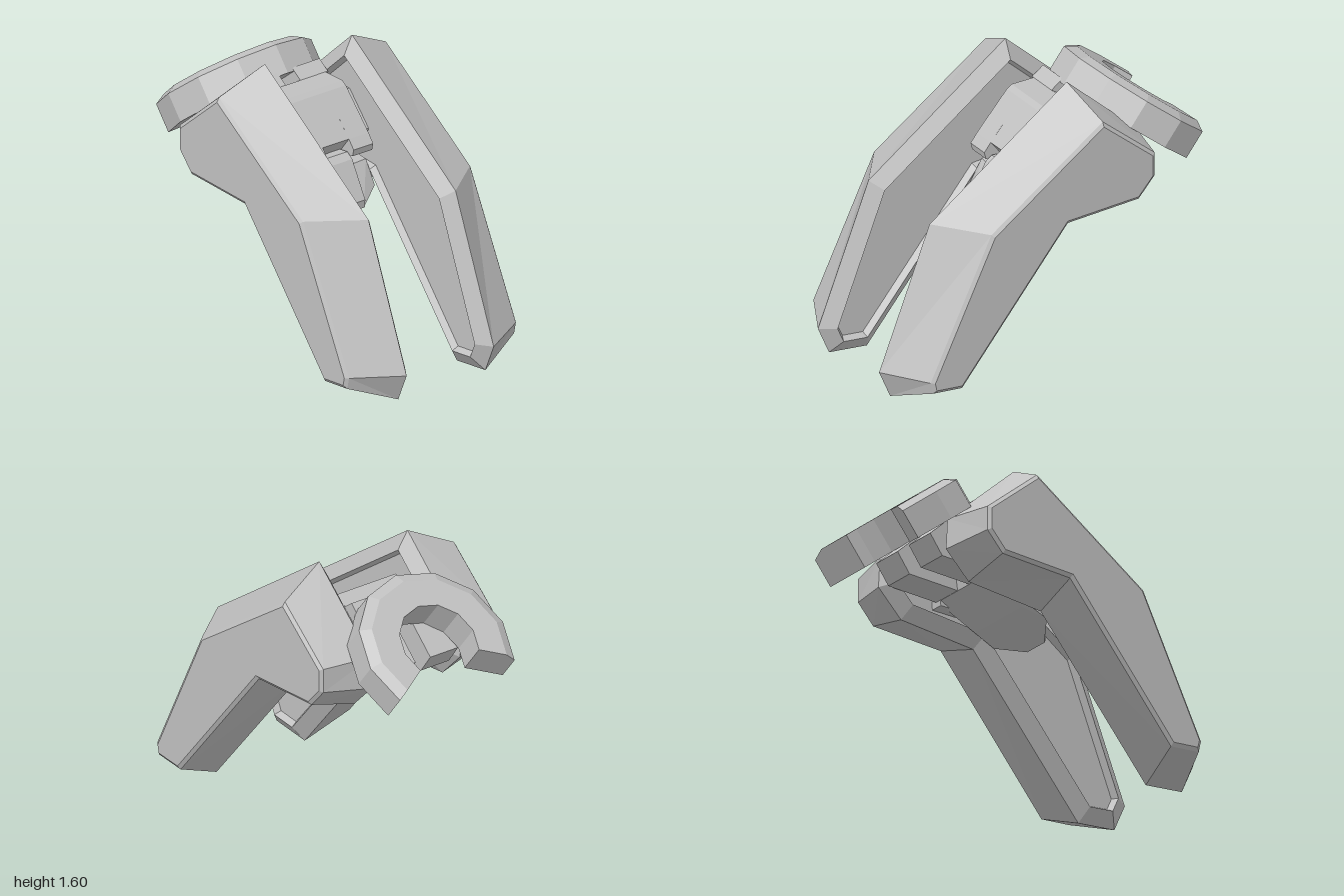
import * as THREE from 'three';
import { ConvexGeometry } from 'three/addons/geometries/ConvexGeometry.js';

const grey = new THREE.MeshStandardMaterial({ color: 0xc0c0c0, flatShading: true });
grey.name = 'pale grey';

const v2 = (pairs) => pairs.map(([x, y]) => new THREE.Vector2(x, y));

// Offset a clockwise outline inwards with mitred corners
function inset(pts, d) {
  const n = pts.length;
  return pts.map((p, i) => {
    const a = p.clone().sub(pts[(i + n - 1) % n]).normalize();
    const b = pts[(i + 1) % n].clone().sub(p).normalize();
    const na = new THREE.Vector2(a.y, -a.x), nb = new THREE.Vector2(b.y, -b.x);
    const m = na.clone().add(nb);
    return p.clone().addScaledVector(m, d / (1 + na.dot(nb)));
  });
}

// Skin a series of equal loops and cap both ends; flip reverses the winding
function loft(loops, capStart, capEnd, flip) {
  const pos = [], n = loops[0].length;
  const tri = (a, b, c) => (flip ? [a, c, b] : [a, b, c]).forEach((p) => pos.push(p.x, p.y, p.z));
  for (let k = 0; k < loops.length - 1; k++) {
    const A = loops[k], B = loops[k + 1];
    for (let i = 0; i < n; i++) {
      const j = (i + 1) % n;
      tri(A[i], B[i], A[j]);
      tri(A[j], B[i], B[j]);
    }
  }
  const cap = (outline, loop, ccw) => {
    THREE.ShapeUtils.triangulateShape(outline, []).forEach(([a, b, c]) => {
      const area = THREE.ShapeUtils.area([outline[a], outline[b], outline[c]]);
      if ((area > 0) === ccw) tri(loop[a], loop[b], loop[c]);
      else tri(loop[a], loop[c], loop[b]);
    });
  };
  cap(capStart, loops[0], false);
  cap(capEnd, loops[loops.length - 1], true);
  const g = new THREE.BufferGeometry();
  g.setAttribute('position', new THREE.Float32BufferAttribute(pos, 3));
  g.computeVertexNormals();
  return g;
}

// Side profile extruded across the model between two z values
function slab(pairs, z0, z1) {
  const g = new THREE.ExtrudeGeometry(new THREE.Shape(v2(pairs)), { depth: z1 - z0, bevelEnabled: false });
  return g.translate(0, 0, z0);
}

export function createModel() {
  const model = new THREE.Group();
  const add = (geo, name) => {
    const m = new THREE.Mesh(geo, grey);
    m.name = name;
    model.add(m);
    return m;
  };

  // Bent side plates: recessed inner panel, rim, widest outline, tapered outer face
  const widest = v2([[-0.19, 1.6], [0.68, 0.99], [1, 0.19], [0.93, 0.03], [0.69, 0.004],
    [-0.01, 0.83], [-0.49, 0.87], [-0.64, 1.02], [-0.63, 1.2]]);
  const outer = v2([[-0.24, 1.44], [0.45, 0.97], [0.83, 0.2], [0.82, 0.155], [0.66, 0.14],
    [-0.01, 0.94], [-0.46, 0.96], [-0.55, 1.06], [-0.55, 1.18]]);
  const rim = inset(widest, 0.08), panel = inset(widest, 0.1);
  const layers = [[panel, 0.275], [rim, 0.24], [widest, 0.3], [inset(outer, -0.02), 0.575], [outer, 0.59]];
  for (const s of [1, -1]) {
    const loops = layers.map(([pts, z]) => pts.map((p) => new THREE.Vector3(p.x, p.y, s * z)));
    add(loft(loops, panel, outer, s < 0), s > 0 ? 'frontSidePlate' : 'backSidePlate');
  }

  // Open collar: chamfered section swept through 240 degrees in facets
  const section = v2([[0.23, 0], [0.39, 0], [0.45, -0.035], [0.45, -0.2], [0.23, -0.2]]);
  const arcs = [];
  for (let k = -4; k <= 4; k++) {
    const a = k * Math.PI / 6;
    arcs.push(section.map((p) => new THREE.Vector3(p.x * Math.cos(a), p.y, p.x * Math.sin(a))));
  }
  const collar = add(loft(arcs, section, section, false), 'collar');
  collar.position.set(-0.84, 1.28, 0);
  collar.rotation.z = 0.67;

  // Central block with a sloping front
  add(slab([[-0.35, 1.34], [-0.32, 1.36], [-0.18, 1.36], [-0.15, 1.34], [0.04, 1.13], [-0.04, 1.03],
    [-0.3, 1]], -0.225, 0.225), 'centreBlock');

  // Paired lips beside the notch, collar mounts and cross bars into the plates
  for (const s of [1, -1]) {
    const both = (pairs, a, b, name) => add(slab(pairs, Math.min(s * a, s * b), Math.max(s * a, s * b)), name);
    both([[-0.04, 1.22], [0.04, 1.13], [0.08, 1.08], [0.07, 1.04], [-0.04, 1.03]], 0.09, 0.225, 'frontLip');
    both([[-0.7, 1.12], [-0.39, 1.41], [-0.32, 1.36], [-0.25, 1], [-0.62, 1.01]], 0.05, 0.24, 'collarMount');
    both([[-0.32, 1.3], [-0.18, 1.3], [-0.02, 1.12], [-0.06, 0.97], [-0.3, 0.97]], 0.2, 0.29, 'crossBar');
  }

  // Chin flaring back from a narrow nose
  const chin = [];
  for (const s of [1, -1]) {
    for (const [x, y, z] of [[0.18, 0.785, 0.08], [0.08, 0.835, 0.235], [0.0, 0.96, 0.24],
      [0.03, 0.97, 0.08], [-0.3, 1.0, 0.23], [-0.06, 0.88, 0.2]]) {
      chin.push(new THREE.Vector3(x, y, s * z));
    }
  }
  add(new ConvexGeometry(chin), 'chin');

  // Narrow tongue rising from the nose into the notch
  add(slab([[0.04, 1.06], [0.08, 1.03], [0.19, 0.83], [0.185, 0.785], [0.05, 0.86], [-0.05, 1.05]],
    -0.08, 0.08), 'tongue');

  return model;
}
